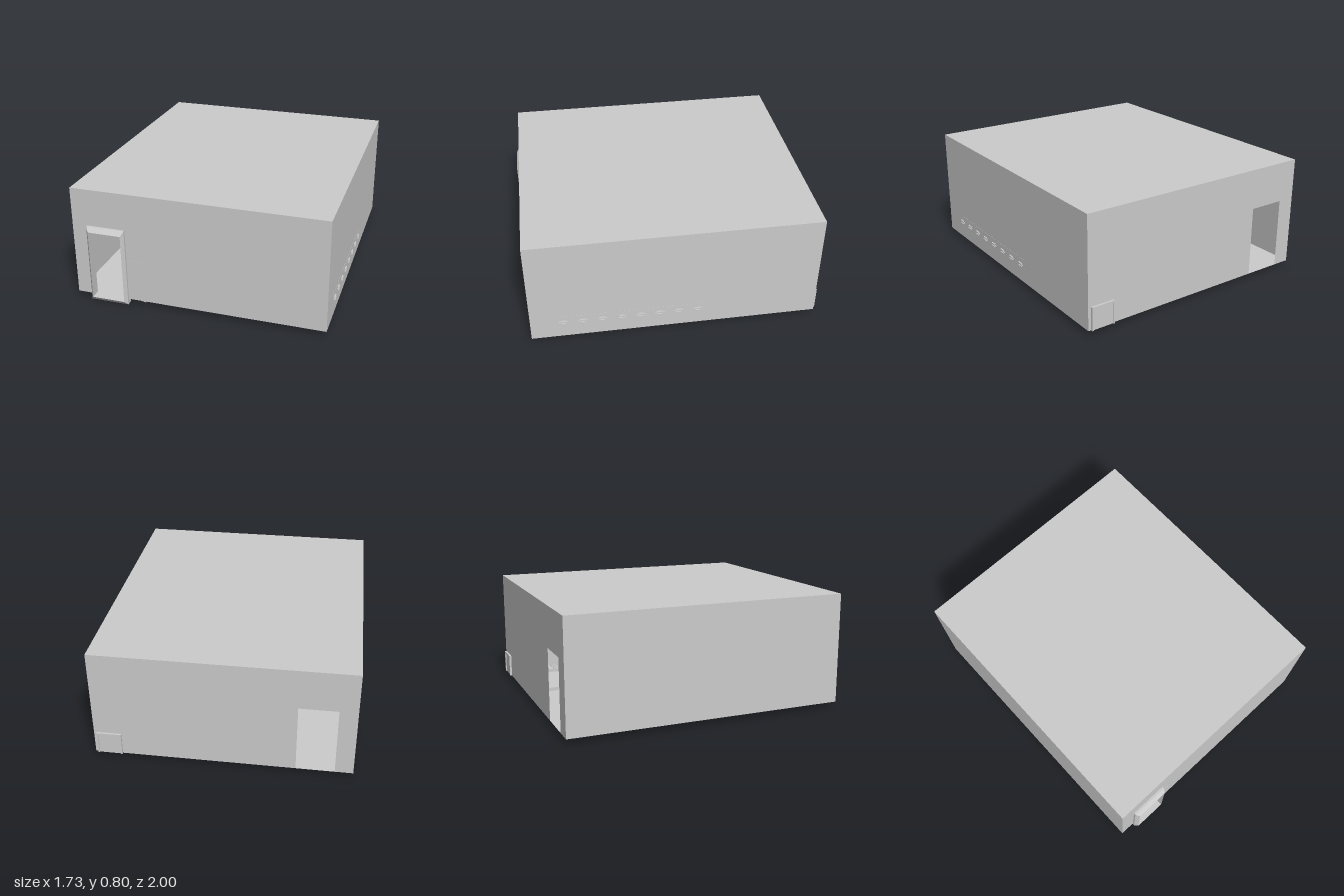
import * as THREE from 'three';

const X0 = -0.865, X1 = 0.85, Y0 = 0.035, Y1 = 0.8, Z0 = -0.985, Z1 = 0.96;
const mat = new THREE.MeshStandardMaterial({ color: 0xcccccc, flatShading: true, side: THREE.DoubleSide });

function add(parent, name, geometry) {
  const mesh = new THREE.Mesh(geometry, mat);
  mesh.name = name;
  parent.add(mesh);
  return mesh;
}

// Box given by its two opposite corners
function block(parent, name, [ax, ay, az], [bx, by, bz]) {
  const g = new THREE.BoxGeometry(Math.abs(bx - ax), Math.abs(by - ay), Math.abs(bz - az));
  g.translate((ax + bx) / 2, (ay + by) / 2, (az + bz) / 2);
  return add(parent, name, g);
}

// End wall: a sheet with a doorway notch reaching the floor
function doorWall(parent, name, z, left, right, top) {
  const s = new THREE.Shape([
    [X0, Y0], [left, Y0], [left, top], [right, top], [right, Y0], [X1, Y0], [X1, Y1], [X0, Y1],
  ].map(([x, y]) => new THREE.Vector2(x, y)));
  add(parent, name, new THREE.ShapeGeometry(s)).position.z = z;
}

// Rectangular frame swept through rings of [left, right, bottom, top, z]
function sweptFrame(rings) {
  const pos = [], idx = [], n = rings.length;
  for (const [l, r, b, t, z] of rings) pos.push(l, b, z, r, b, z, r, t, z, l, t, z);
  for (let i = 0; i < n; i++) {
    for (let j = 0; j < 4; j++) {
      const k = (j + 1) % 4, m = ((i + 1) % n) * 4;
      idx.push(i * 4 + j, i * 4 + k, m + k, i * 4 + j, m + k, m + j);
    }
  }
  const g = new THREE.BufferGeometry();
  g.setAttribute('position', new THREE.Float32BufferAttribute(pos, 3));
  g.setIndex(idx);
  const flat = g.toNonIndexed();
  flat.computeVertexNormals();
  return flat;
}

// Low strip following axis-aligned or slanted floor points [x, z]
function floorStrip(parent, name, points, width = 0.018) {
  const group = new THREE.Group();
  group.name = name;
  for (let i = 1; i < points.length; i++) {
    const [ax, az] = points[i - 1], [bx, bz] = points[i];
    const g = new THREE.BoxGeometry(Math.hypot(bx - ax, bz - az) + width * 0.9, 0.028, width);
    const seg = add(group, 'stripSegment', g);
    seg.position.set((ax + bx) / 2, 0.044, (az + bz) / 2);
    seg.rotation.y = -Math.atan2(bz - az, bx - ax);
  }
  parent.add(group);
}

export function createModel() {
  const model = new THREE.Group();
  model.name = 'building';

  // Hollow shell
  const shell = new THREE.Group();
  shell.name = 'shell';
  model.add(shell);
  const w = X1 - X0, d = Z1 - Z0, h = Y1 - Y0;
  const cx = (X0 + X1) / 2, cz = (Z0 + Z1) / 2, cy = (Y0 + Y1) / 2;
  for (const [name, y] of [['floor', Y0], ['roof', Y1]]) {
    const g = new THREE.PlaneGeometry(w, d).rotateX(name === 'roof' ? -Math.PI / 2 : Math.PI / 2);
    add(shell, name, g).position.set(cx, y, cz);
  }
  for (const [name, x, turn] of [['rightWall', X0, -1], ['leftWall', X1, 1]]) {
    const g = new THREE.PlaneGeometry(d, h).rotateY(turn * Math.PI / 2);
    add(shell, name, g).position.set(x, cy, cz);
  }
  doorWall(shell, 'frontWall', Z1, -0.745, -0.505, 0.52);
  doorWall(shell, 'backWall', Z0, -0.745, -0.49, 0.52);

  // Bevelled front door frame
  const outer = [-0.76, -0.495, 0, 0.545], inner = [-0.74, -0.512, 0.03, 0.515];
  add(model, 'doorFrame', sweptFrame([
    [...outer, 0.93], [...outer, 0.975], [...inner, 1.0], [...inner, 0.93],
  ]));
  block(model, 'doorButton', [-0.518, 0.308, 0.965], [-0.511, 0.32, 0.975]);

  // Cable let into the front wall beside the door
  block(model, 'wallCable', [-0.5, 0.317, 0.945], [-0.37, 0.325, 0.961]);
  block(model, 'wallCable', [-0.378, 0.03, 0.945], [-0.37, 0.325, 0.961]);

  // Low strips across the floor
  floorStrip(model, 'mainFloorStrip', [
    [0.7, -0.86], [0.16, -0.86], [0.16, -0.39], [-0.39, -0.39], [-0.41, 0.12],
    [-0.24, 0.14], [-0.24, 0.465], [-0.39, 0.465], [-0.39, 0.95],
  ]);
  floorStrip(model, 'sideFloorStrip', [[0.66, -0.97], [0.63, 0.71], [-0.21, 0.73]], 0.01);

  // Vent strip with eight small hooks on the left wall
  block(model, 'ventPanel', [X1 - 0.01, 0.14, -0.215], [X1 + 0.001, 0.205, 0.77]);
  for (let i = 0; i < 8; i++) {
    const z = 0.74 - i * 0.129;
    const hook = new THREE.Group();
    hook.name = 'ventHook';
    block(hook, 'hookTop', [X1, 0.166, -0.02], [X1 + 0.011, 0.172, 0.02]);
    block(hook, 'hookBase', [X1, 0.147, -0.02], [X1 + 0.011, 0.153, 0.02]);
    block(hook, 'hookBar', [X1, 0.156, -0.032], [X1 + 0.007, 0.163, 0.03]);
    hook.position.z = z;
    model.add(hook);
  }

  // Shallow hatch on the back wall
  const hatch = new THREE.Group();
  hatch.name = 'backHatch';
  block(hatch, 'hatchPanel', [0.67, Y0, Z0], [0.825, 0.19, Z0 - 0.008]);
  block(hatch, 'hatchTop', [0.665, 0.183, Z0], [0.83, 0.195, -1]);
  for (const x of [0.665, 0.82]) block(hatch, 'hatchPost', [x, Y0, Z0], [x + 0.01, 0.195, -1]);
  model.add(hatch);

  // Small fins on the front wall near the corner
  for (const x of [0.675, 0.79]) block(model, 'frontFin', [x - 0.004, 0.05, Z1 - 0.01], [x + 0.004, 0.1, Z1 + 0.002]);

  // Ribs under the floor
  for (let i = 0; i < 6; i++) {
    const x = 0.69 + i * 0.024;
    block(model, 'floorRib', [x, 0.024, -0.635], [x + 0.008, 0.045, -0.56]);
  }
  return model;
}
